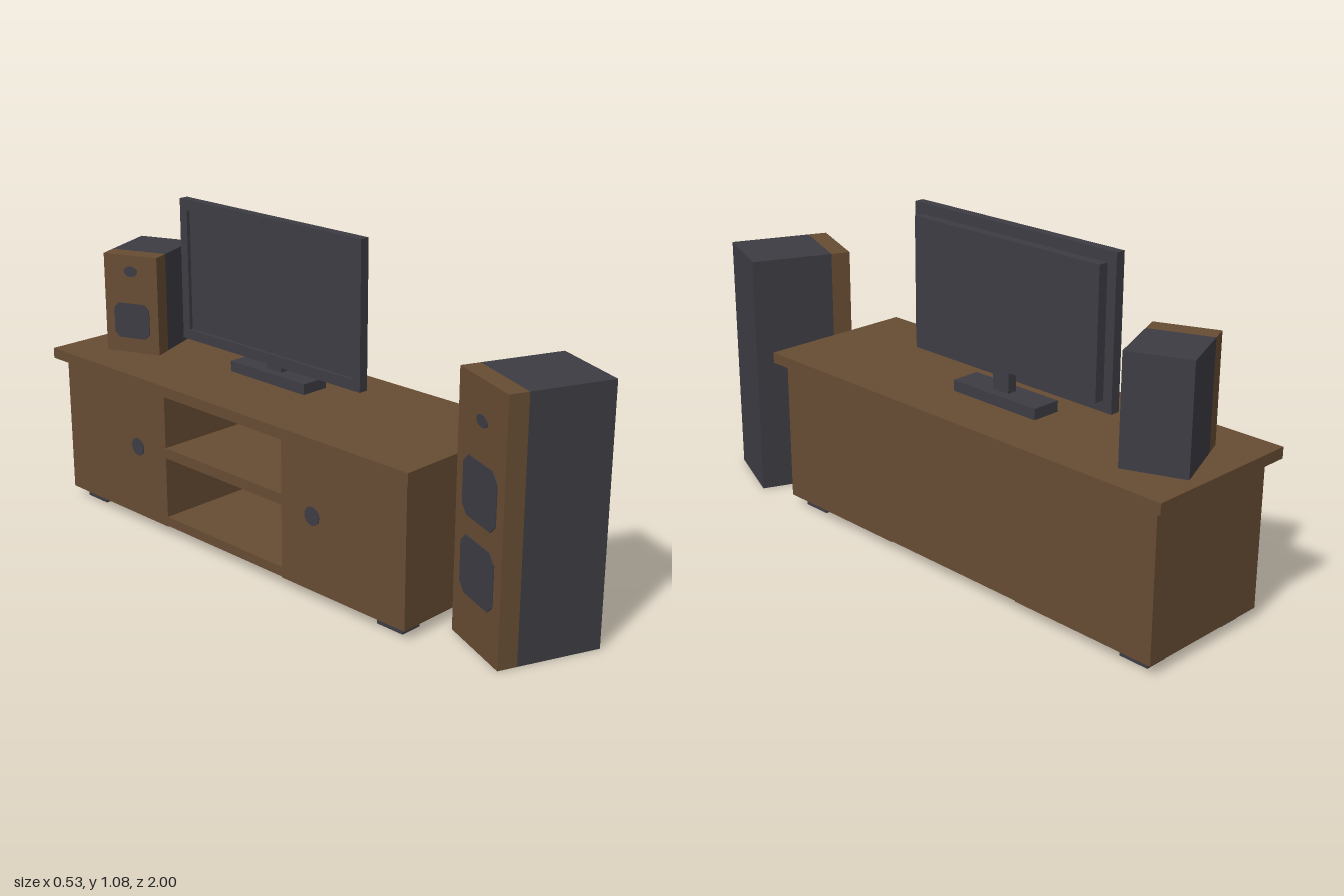
import * as THREE from 'three';

const wood = new THREE.MeshStandardMaterial({ color: 0x664c33 });
wood.name = 'brown wood';
const dark = new THREE.MeshStandardMaterial({ color: 0x3d3c43 });
dark.name = 'charcoal';

// Box given by its [min, max] range on each axis
function box(parent, name, material, [x0, x1], [y0, y1], [z0, z1]) {
  const mesh = new THREE.Mesh(new THREE.BoxGeometry(x1 - x0, y1 - y0, z1 - z0), material);
  mesh.position.set((x0 + x1) / 2, (y0 + y1) / 2, (z0 + z1) / 2);
  mesh.name = name;
  parent.add(mesh);
}

// Flat shape extruded towards -x, its back at x
function plate(parent, name, material, shape, depth, x, y, z) {
  const geometry = new THREE.ExtrudeGeometry(shape, { depth, bevelEnabled: false, curveSegments: 8 });
  geometry.rotateY(-Math.PI / 2);
  const mesh = new THREE.Mesh(geometry, material);
  mesh.position.set(x, y, z);
  mesh.name = name;
  parent.add(mesh);
}

function ellipse(rx, ry) {
  const shape = new THREE.Shape();
  shape.absellipse(0, 0, rx, ry, 0, Math.PI * 2, false, 0);
  return shape;
}

function polygon(points, Type = THREE.Shape) {
  return new Type(points.map(([x, y]) => new THREE.Vector2(x, y)));
}

function rectangle(w, h, Type) {
  return polygon([[-w / 2, -h / 2], [w / 2, -h / 2], [w / 2, h / 2], [-w / 2, h / 2]], Type);
}

// Rectangle with cut corners
function cutRectangle(w, h, c) {
  const a = w / 2, b = h / 2;
  return polygon([
    [-a + c, -b], [a - c, -b], [a, -b + c], [a, b - c],
    [a - c, b], [-a + c, b], [-a, b - c], [-a, -b + c],
  ]);
}

// Speaker facing -x: dark case, wooden front, tweeter and woofers
function speaker(name, { depth, width, height, tweeter, woofers }) {
  const group = new THREE.Group();
  group.name = name;
  const front = -depth / 2, seam = front + 0.063;
  box(group, 'speakerCase', dark, [seam, depth / 2], [0, height], [-width / 2, width / 2]);
  box(group, 'speakerFront', wood, [front, seam], [0, height], [-width / 2, width / 2]);
  plate(group, 'tweeter', dark, ellipse(tweeter.rx, tweeter.ry), 0.003, front, tweeter.y, 0);
  for (const { y, w, h } of woofers) {
    plate(group, 'woofer', dark, cutRectangle(w, h, h * 0.15), 0.003, front, y, 0);
  }
  return group;
}

function cabinet() {
  const group = new THREE.Group();
  group.name = 'cabinet';
  box(group, 'tableTop', wood, [-0.267, 0.267], [0.505, 0.54], [-1, 0.61]);
  // Closed cupboards with round handles
  const cupboards = [[-0.965, -0.46, -0.6], [0.08, 0.58, 0.21]];
  for (const [z0, z1, handleZ] of cupboards) {
    box(group, 'cupboard', wood, [-0.235, 0.235], [0.035, 0.505], [z0, z1]);
    plate(group, 'handle', dark, ellipse(0.03, 0.03), 0.003, -0.235, 0.28, handleZ);
  }
  // Open middle bay
  const bay = [-0.46, 0.08];
  box(group, 'bayFloor', wood, [-0.235, 0.235], [0.038, 0.07], bay);
  box(group, 'shelf', wood, [-0.235, 0.205], [0.277, 0.312], bay);
  box(group, 'backPanel', wood, [0.205, 0.235], [0.07, 0.505], bay);
  // Feet
  for (const side of [-1, 1]) {
    for (const z of [-0.88, 0.495]) {
      const x = side * 0.165;
      box(group, 'foot', dark, [x - 0.037, x + 0.037], [0, 0.035], [z - 0.05, z + 0.05]);
    }
  }
  return group;
}

function television() {
  const group = new THREE.Group();
  group.name = 'television';
  box(group, 'standBase', dark, [-0.012, 0.086], [0.54, 0.575], [-0.385, -0.048]);
  box(group, 'standNeck', dark, [0.02, 0.053], [0.575, 0.64], [-0.246, -0.182]);
  box(group, 'backHousing', dark, [0.02, 0.053], [0.64, 1.042], [-0.585, 0.155]);
  box(group, 'screen', dark, [0, 0.02], [0.605, 1.076], [-0.617, 0.189]);
  // Raised frame around the screen
  const frame = rectangle(0.806, 0.471);
  frame.holes.push(rectangle(0.74, 0.402, THREE.Path));
  plate(group, 'screenFrame', dark, frame, 0.012, 0, 0.8405, -0.214);
  return group;
}

export function createModel() {
  const model = new THREE.Group();
  model.name = 'mediaCabinet';
  model.add(cabinet(), television());

  const floorSpeaker = speaker('floorSpeaker', {
    depth: 0.332, width: 0.268, height: 0.808,
    tweeter: { y: 0.69, rx: 0.03, ry: 0.018 },
    woofers: [{ y: 0.48, w: 0.19, h: 0.18 }, { y: 0.24, w: 0.19, h: 0.18 }],
  });
  floorSpeaker.position.set(0.027, 0, 0.811);
  floorSpeaker.rotation.y = -0.39;

  const shelfSpeaker = speaker('shelfSpeaker', {
    depth: 0.264, width: 0.197, height: 0.335,
    tweeter: { y: 0.28, rx: 0.024, ry: 0.018 },
    woofers: [{ y: 0.11, w: 0.13, h: 0.12 }],
  });
  shelfSpeaker.position.set(0.016, 0.54, -0.819);
  shelfSpeaker.rotation.y = 0.39;

  model.add(floorSpeaker, shelfSpeaker);
  return model;
}
